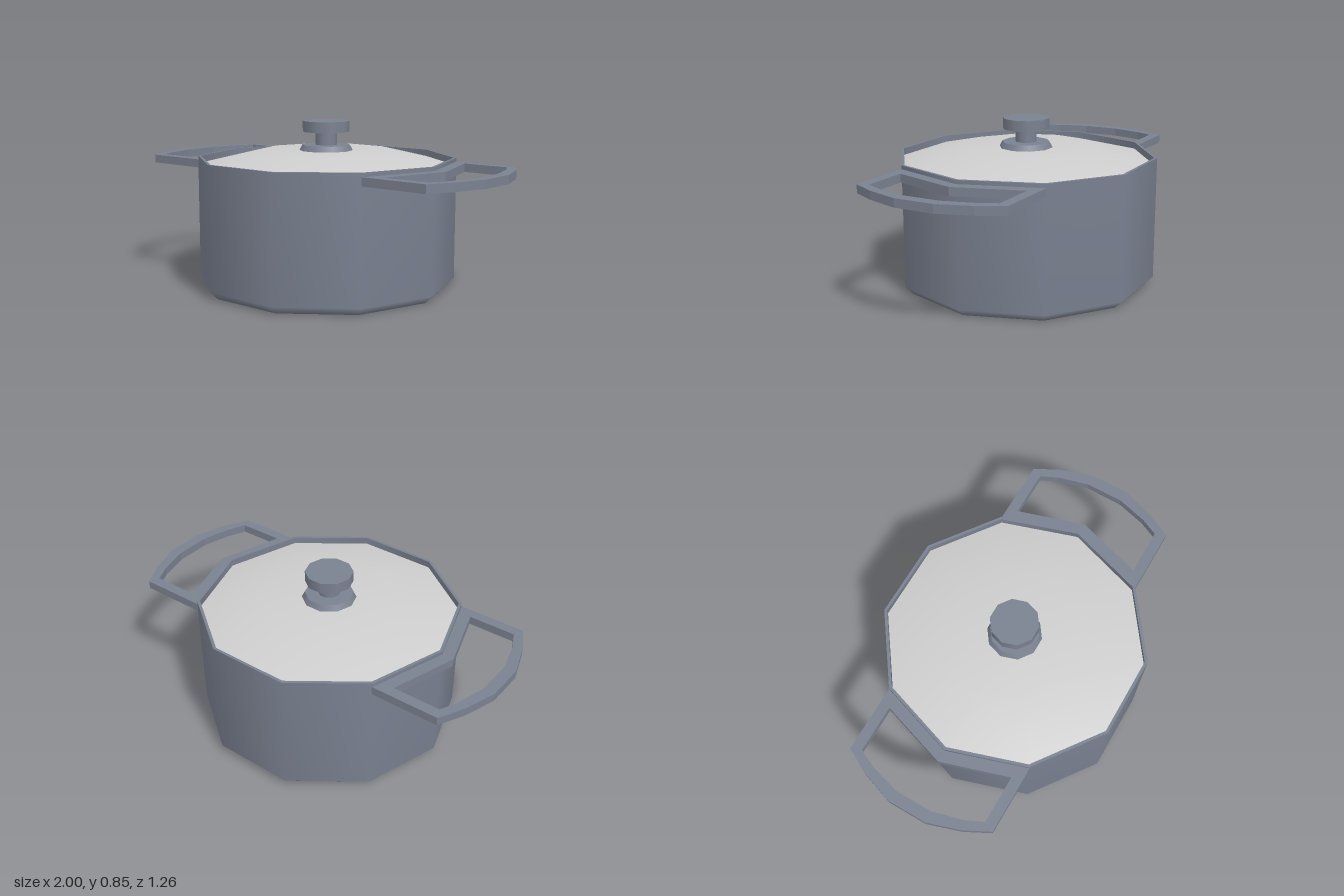
import * as THREE from 'three';

const SIDES = 10;

// Revolves [radius, y] points into a ten-sided solid; repeated points give sharp edges.
function turned(name, points, material) {
  const profile = points.map(([r, y]) => new THREE.Vector2(r, y));
  const mesh = new THREE.Mesh(new THREE.LatheGeometry(profile, SIDES, Math.PI / 2), material);
  mesh.name = name;
  return mesh;
}

// Mirrors half an outline across the x axis and closes it.
function mirrored(half) {
  const other = half.filter(([, y]) => y !== 0).reverse().map(([x, y]) => [x, -y]);
  return [...half, ...other].map(([x, y]) => new THREE.Vector2(x, y));
}

export function createModel() {
  const model = new THREE.Group();
  model.name = 'cookingPot';
  const steel = new THREE.MeshStandardMaterial({ color: 0x7a8190 });
  steel.name = 'blueGreySteel';
  const pale = new THREE.MeshStandardMaterial({ color: 0xcdcecd });
  pale.name = 'paleLid';

  // Pot with bevelled foot, thin rim and hollow inside
  model.add(turned('pot', [
    [0, 0], [0.625, 0], [0.665, 0.04], [0.665, 0.665], [0.665, 0.665],
    [0.65, 0.665], [0.65, 0.665], [0.65, 0.05], [0.65, 0.05], [0, 0.05],
  ], steel));

  // Shallow lid set inside the rim
  model.add(turned('lid', [[0.65, 0.63], [0.352, 0.7], [0, 0.7]], pale));

  // Knob: flared foot, stem and cap
  const knob = new THREE.Group();
  knob.name = 'knob';
  knob.add(
    turned('knobFoot', [[0.138, 0.698], [0.122, 0.728], [0.122, 0.728], [0, 0.728]], steel),
    turned('knobStem', [[0.055, 0.725], [0.055, 0.8]], steel),
    turned('knobCap', [
      [0, 0.795], [0.12, 0.795], [0.12, 0.795], [0.12, 0.85], [0.12, 0.85], [0, 0.85],
    ], steel),
  );
  model.add(knob);

  // Flat loop handles hugging the pot sides
  const loop = new THREE.Shape(mirrored([
    [0.66, 0], [0.535, -0.393], [0.88, -0.393], [0.945, -0.268], [1, -0.1],
  ]));
  loop.holes.push(new THREE.Path(mirrored([
    [0.725, 0], [0.618, -0.34], [0.858, -0.34], [0.9, -0.25], [0.942, -0.095],
  ])));
  const handleGeometry = new THREE.ExtrudeGeometry(loop, { depth: 0.042, bevelEnabled: false });
  handleGeometry.rotateX(-Math.PI / 2);
  handleGeometry.translate(0, 0.604, 0);
  ['leftHandle', 'rightHandle'].forEach((name, i) => {
    const handle = new THREE.Mesh(handleGeometry, steel);
    handle.name = name;
    handle.rotation.y = i * Math.PI;
    model.add(handle);
  });

  return model;
}
